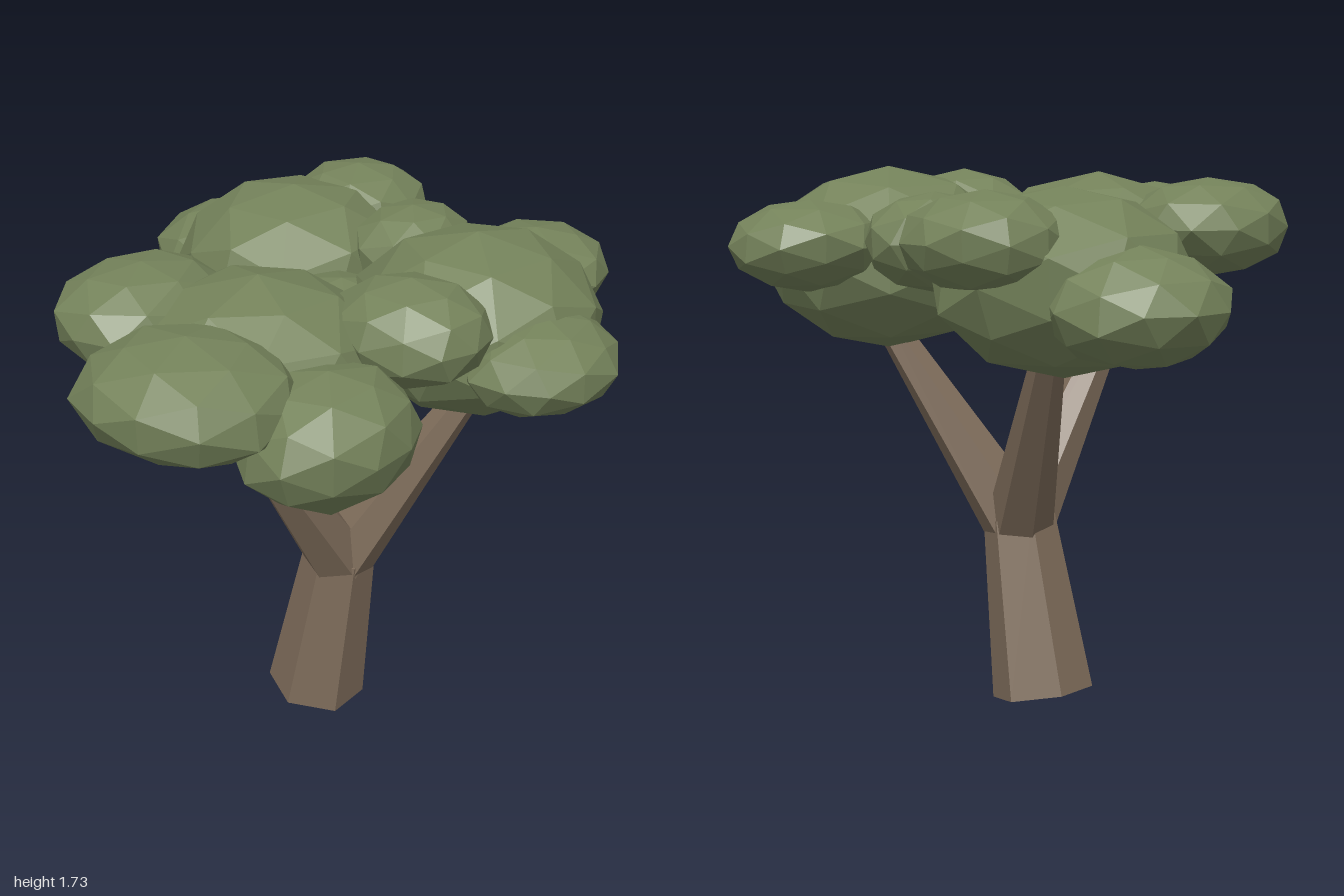
import * as THREE from 'three';

const leaf = new THREE.MeshStandardMaterial({ color: 0x74825a, flatShading: true });
leaf.name = 'leafGreen';
const bark = new THREE.MeshStandardMaterial({ color: 0x7f6d5b, flatShading: true });
bark.name = 'barkBrown';

// Tapered six-sided limb from one point to another
function limb(name, from, to, r0, r1) {
  const a = new THREE.Vector3(...from), b = new THREE.Vector3(...to);
  const dir = b.clone().sub(a);
  const mesh = new THREE.Mesh(new THREE.CylinderGeometry(r1, r0, dir.length(), 6), bark);
  mesh.position.copy(a).add(b).multiplyScalar(0.5);
  mesh.quaternion.setFromUnitVectors(new THREE.Vector3(0, 1, 0), dir.normalize());
  mesh.name = name;
  return mesh;
}

// Flattened faceted clump of leaves, slightly uneven and turned about the vertical
function clump(name, [x, y, z, rx, ry, rz], turn) {
  const geo = new THREE.IcosahedronGeometry(1, 1);
  const pos = geo.attributes.position;
  const v = new THREE.Vector3();
  for (let i = 0; i < pos.count; i++) {
    v.fromBufferAttribute(pos, i);
    v.multiplyScalar(1.01 + 0.03 * Math.sin(7 * v.x + 5 * v.y + turn) * Math.cos(6 * v.z - 3 * v.x));
    pos.setXYZ(i, v.x, v.y, v.z);
  }
  geo.rotateY(turn);
  geo.scale(rx * 1.02, ry, rz * 1.02);
  geo.computeVertexNormals();
  const mesh = new THREE.Mesh(geo, leaf);
  mesh.position.set(x, y, z);
  mesh.name = name;
  return mesh;
}

export function createModel() {
  const tree = new THREE.Group();
  tree.name = 'tree';

  // Leaning trunk and three branches
  tree.add(limb('trunk', [-0.025, 0.029, -0.115], [0.075, 0.6, -0.11], 0.165, 0.118));
  const tips = {
    frontBranch: [0.03, 1.3, 0.41],
    rightBranch: [-0.37, 1.3, -0.5],
    leftBranch: [0.48, 1.3, -0.35],
  };
  for (const [name, tip] of Object.entries(tips)) {
    tree.add(limb(name, [0.075, 0.565, -0.11], tip, 0.112, 0.04));
  }

  // Foliage: x, y, z, then the three radii
  const foliage = {
    rightCrown: [-0.365, 1.415, -0.45, 0.38, 0.28, 0.39],
    leftCrown: [0.42, 1.445, -0.34, 0.39, 0.285, 0.4],
    frontCrown: [0.05, 1.428, 0.29, 0.39, 0.27, 0.39],
    frontClump: [0.1, 1.485, 0.69, 0.33, 0.175, 0.31],
    frontRightClump: [-0.32, 1.535, 0.385, 0.25, 0.16, 0.3],
    frontLeftClump: [0.43, 1.36, 0.46, 0.25, 0.205, 0.3],
    lowRightClump: [-0.41, 1.355, -0.2, 0.25, 0.145, 0.24],
    farRightClump: [-0.68, 1.355, -0.53, 0.27, 0.175, 0.27],
    backRightClump: [-0.32, 1.54, -0.76, 0.24, 0.145, 0.24],
    backMiddleClump: [0.03, 1.52, -0.57, 0.19, 0.15, 0.23],
    backLeftClump: [0.42, 1.5, -0.7, 0.24, 0.14, 0.25],
    farLeftClump: [0.72, 1.415, -0.24, 0.23, 0.15, 0.27],
    upperLeftClump: [0.44, 1.55, 0.06, 0.25, 0.16, 0.22],
    middleClump: [0.03, 1.38, -0.17, 0.26, 0.16, 0.22],
  };
  Object.entries(foliage).forEach(([name, spec], i) => tree.add(clump(name, spec, i * 1.3)));

  return tree;
}
